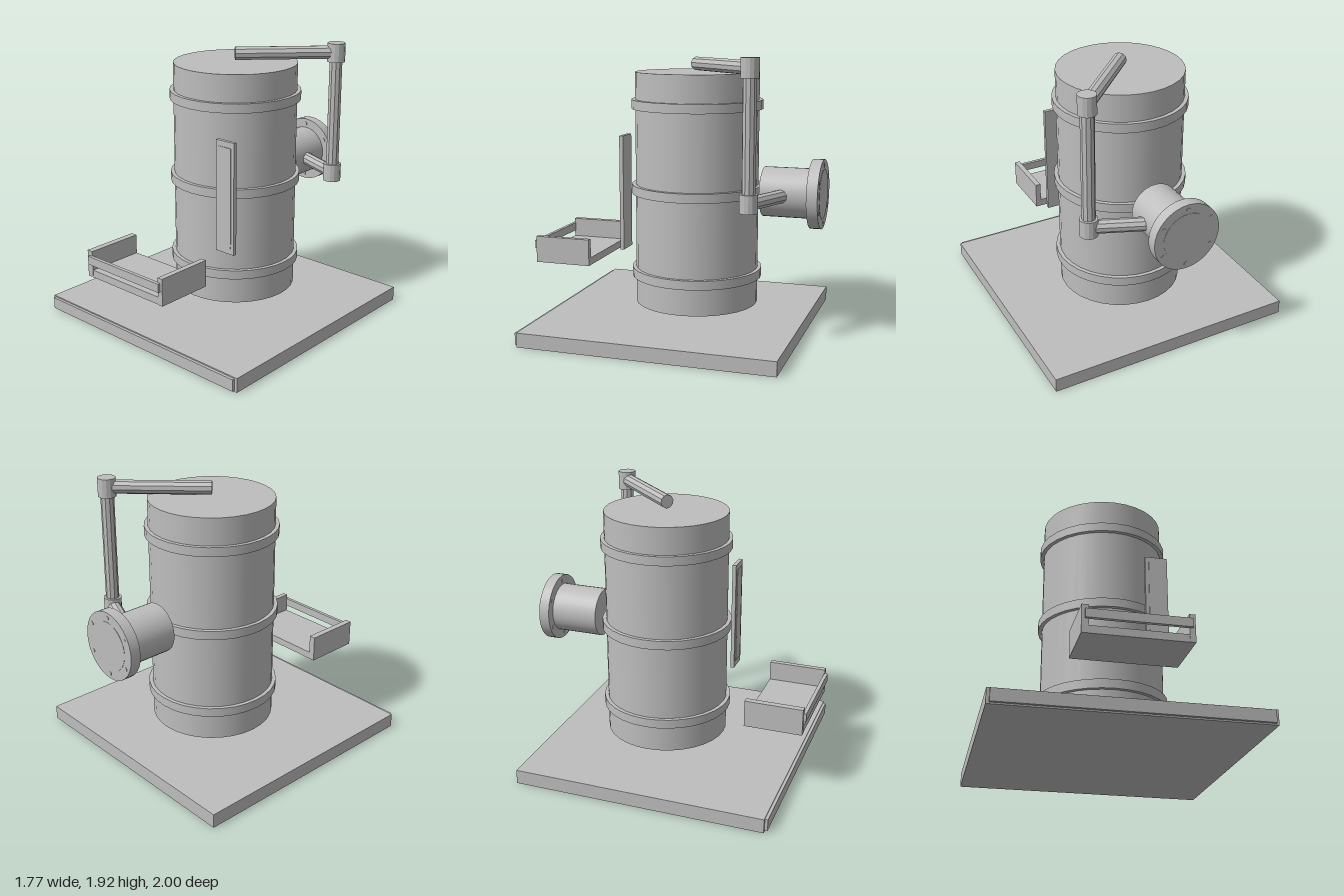
import * as THREE from 'three';

const metal = new THREE.MeshStandardMaterial({ color: 0xbebebe });
metal.name = 'plain grey';

export function createModel() {
  const model = new THREE.Group();
  model.name = 'barrelApparatus';

  const add = (name, geometry, parent = model) => {
    const mesh = new THREE.Mesh(geometry, metal);
    mesh.name = name;
    parent.add(mesh);
    return mesh;
  };

  // Box given by its two opposite corners
  const box = (name, a, b, parent) => {
    const mesh = add(name, new THREE.BoxGeometry(b[0] - a[0], b[1] - a[1], b[2] - a[2]), parent);
    mesh.position.set((a[0] + b[0]) / 2, (a[1] + b[1]) / 2, (a[2] + b[2]) / 2);
    return mesh;
  };

  // Cylinder between two points, optionally faceted
  const rod = (name, from, to, radius, sides, faceted = false, parent = model) => {
    const a = new THREE.Vector3(...from), b = new THREE.Vector3(...to);
    let geometry = new THREE.CylinderGeometry(radius, radius, a.distanceTo(b), sides);
    if (faceted) {
      geometry = geometry.toNonIndexed();
      geometry.computeVertexNormals();
    }
    const mesh = add(name, geometry, parent);
    mesh.position.copy(a).add(b).multiplyScalar(0.5);
    mesh.quaternion.setFromUnitVectors(new THREE.Vector3(0, 1, 0), b.sub(a).normalize());
    return mesh;
  };

  // Base slab with front facing strip
  box('base', [-0.885, 0, -0.89], [0.885, 0.1, 0.88]);
  box('baseFrontStrip', [-0.865, 0.01, 0.87], [0.865, 0.092, 0.9]);

  // Barrel and its three hoops
  rod('barrel', [0, 0.18, -0.105], [0, 1.8, -0.105], 0.43, 32);
  for (const y of [0.4, 0.99, 1.58]) {
    rod('barrelHoop', [0, y - 0.032, -0.105], [0, y + 0.032, -0.105], 0.457, 32);
  }

  // Upright sight panel in front of the barrel
  box('sightPanel', [0.215, 0.595, 0.305], [0.372, 1.38, 0.332]);
  box('sightPlate', [0.24, 0.64, 0.332], [0.347, 1.34, 0.337]);

  // Tray: floor, side walls and a raised front lip with a gap beneath
  const tray = new THREE.Group();
  tray.name = 'tray';
  model.add(tray);
  box('trayFloor', [-0.315, 0.45, 0.58], [0.315, 0.502, 0.98], tray);
  box('trayRightWall', [-0.357, 0.45, 0.58], [-0.312, 0.637, 0.982], tray);
  box('trayLeftWall', [0.312, 0.45, 0.58], [0.35, 0.637, 0.982], tray);
  box('trayLip', [-0.335, 0.545, 0.975], [0.333, 0.604, 1], tray);

  // Rear drum with a bolted flange
  rod('rearDrum', [0, 0.99, -0.59], [0, 0.99, -0.95], 0.171, 32);
  rod('flange', [0, 0.99, -0.922], [0, 0.99, -0.997], 0.237, 32);
  rod('flangeCover', [0, 0.99, -0.99], [0, 0.99, -0.999], 0.17, 32);
  for (let i = 0; i < 6; i++) {
    const angle = Math.PI / 6 + i * Math.PI / 3;
    const x = 0.2 * Math.cos(angle), y = 0.99 + 0.2 * Math.sin(angle);
    rod('flangeBolt', [x, y, -0.918], [x, y, -1], 0.016, 6, true);
  }

  // Pipework linking the barrel top to the rear drum
  const px = 0.49, pz = -0.6;
  rod('upperPipe', [0, 1.855, -0.1], [px, 1.855, pz], 0.047, 10, true);
  rod('uprightPipe', [px, 0.95, pz], [px, 1.9, pz], 0.046, 10, true);
  rod('lowerPipe', [px, 0.987, pz], [0, 0.987, -0.8], 0.047, 10, true);
  rod('upperJoint', [px, 1.79, pz], [px, 1.92, pz], 0.062, 14, true);
  rod('lowerJoint', [px, 0.928, pz], [px, 1.052, pz], 0.062, 14, true);

  return model;
}
